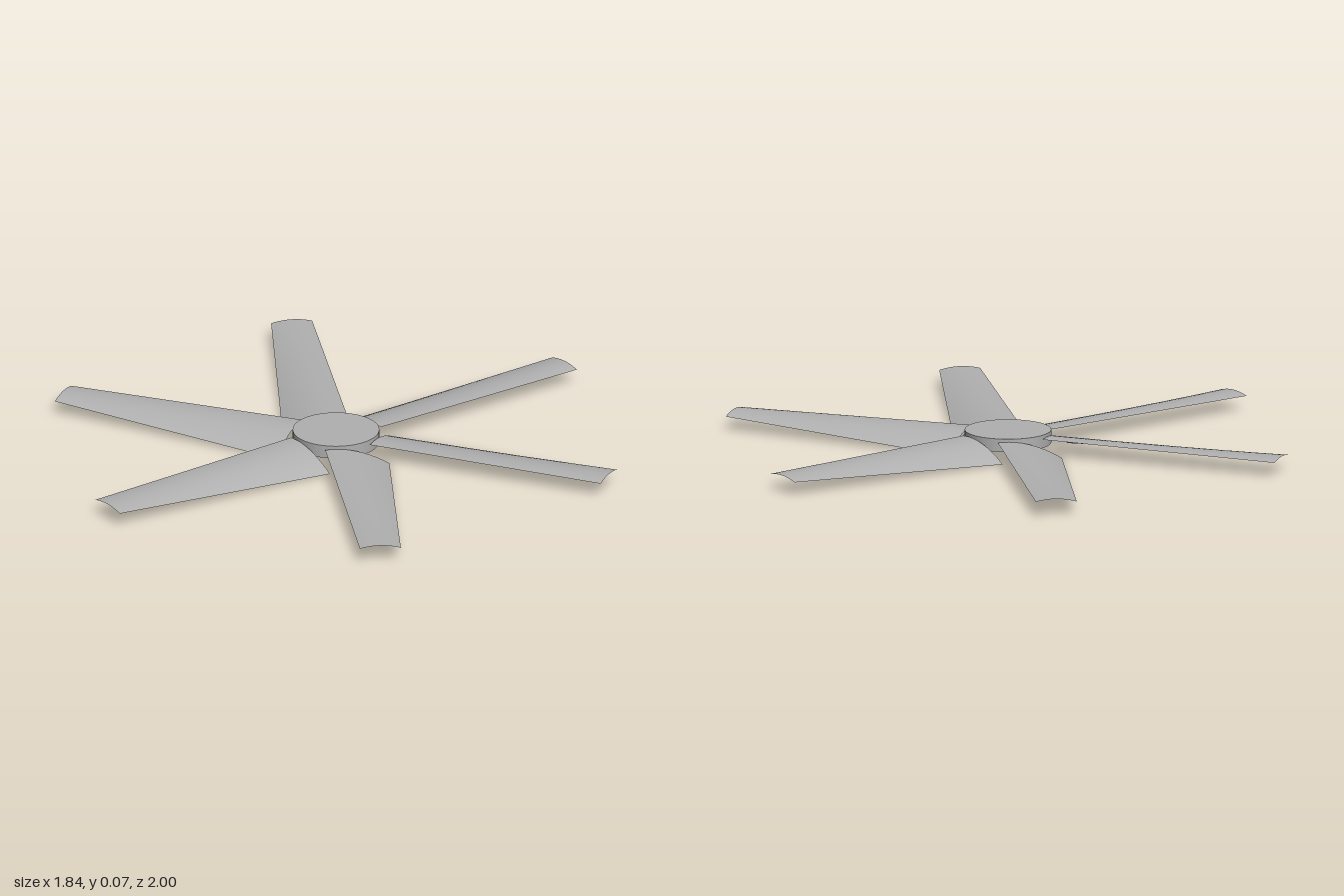
import * as THREE from 'three';

const lerp = THREE.MathUtils.lerp;

// One cambered, twisted blade reaching along +z; u runs across it, v from root to tip.
function bladeGeometry() {
  const root = { z: 0.15, x0: -0.055, x1: 0.166, y0: 0.06, y1: 0, bulge: 0.02 };
  const tip = { z: 1, x0: -0.036, x1: 0.105, y0: 0.051, y1: 0.048, bulge: 0.01 };
  const geometry = new THREE.PlaneGeometry(1, 1, 12, 10).rotateX(-Math.PI / 2);
  const p = geometry.attributes.position;
  const section = (s, u) => ({
    x: lerp(s.x0, s.x1, u),
    y: lerp(s.y0, s.y1, u) + s.bulge * 4 * u * (1 - u),
  });
  for (let i = 0; i < p.count; i++) {
    const u = p.getX(i) + 0.5;
    const v = p.getZ(i) + 0.5;
    const a = section(root, u);
    const b = section(tip, u);
    p.setXYZ(i, lerp(a.x, b.x, v), lerp(a.y, b.y, v), lerp(root.z, tip.z, v));
  }
  geometry.computeVertexNormals();
  return geometry;
}

export function createModel() {
  const model = new THREE.Group();
  model.name = 'fanRotor';
  const metal = new THREE.MeshStandardMaterial({ color: 0xb0b0b0, side: THREE.DoubleSide });
  metal.name = 'grey metal';

  // Flat round hub
  const hub = new THREE.Mesh(new THREE.CylinderGeometry(0.148, 0.148, 0.045, 64), metal);
  hub.name = 'hub';
  hub.position.y = 0.0485;
  model.add(hub);

  // Six equal blades around the hub
  const geometry = bladeGeometry();
  for (let i = 0; i < 6; i++) {
    const blade = new THREE.Mesh(geometry, metal);
    blade.name = `blade${i + 1}`;
    blade.rotation.y = (i * Math.PI) / 3;
    model.add(blade);
  }
  return model;
}
